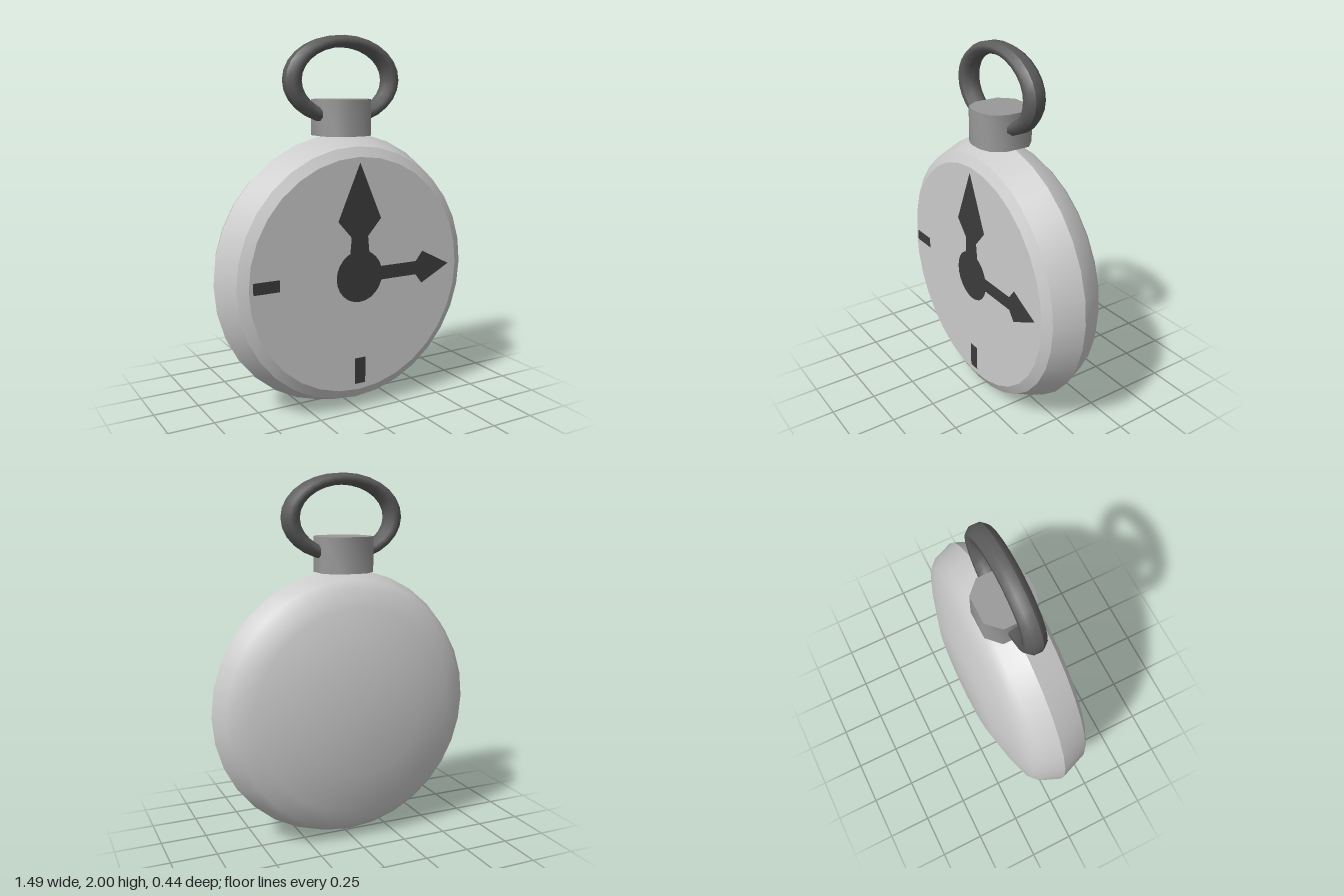
import * as THREE from 'three';
import { toCreasedNormals } from 'three/addons/utils/BufferGeometryUtils.js';

const CENTRE_Y = 0.747; // middle of the dial
const AXIS_Z = 0.035;   // plane of the case seam, crown and ring

const grey = new THREE.MeshStandardMaterial({ color: 0xcccccc });
const crownGrey = new THREE.MeshStandardMaterial({ color: 0x999999 });
const ringGrey = new THREE.MeshStandardMaterial({ color: 0x5c5c5c });
const dark = new THREE.MeshStandardMaterial({ color: 0x3c3c3c });

const vectors = (pairs) => pairs.map(([x, y]) => new THREE.Vector2(x, y));

export function createModel() {
  const group = new THREE.Group();
  const add = (name, geometry, material, x, y, z) => {
    const mesh = new THREE.Mesh(geometry, material);
    mesh.name = name;
    mesh.position.set(x, y, z);
    group.add(mesh);
    return mesh;
  };

  // Case: domed back, hard seam, bevelled rim and flat dial, turned to face +z
  const profile = vectors([
    [0, -0.222], [0.34, -0.213], [0.56, -0.157], [0.66, -0.12], [0.7, -0.08],
    [0.745, AXIS_Z], [0.685, 0.19], [0.632, 0.22], [0, 0.22],
  ]);
  const caseGeometry = new THREE.LatheGeometry(profile, 32).rotateX(Math.PI / 2);
  add('case', toCreasedNormals(caseGeometry, 0.5), grey, 0, CENTRE_Y, 0);

  // Crown: ten-sided prism, a little wider at the back
  const half = [[0.04, -0.145], [0.1, -0.125], [0.145, -0.055], [0.145, 0.08], [0.076, 0.148]];
  const mirrored = half.map(([x, y]) => [-x, y]).reverse();
  const crownShape = new THREE.Shape(vectors([...half, ...mirrored]));
  const crownGeometry = new THREE.ExtrudeGeometry(crownShape, { depth: 0.19, bevelEnabled: false });
  crownGeometry.rotateX(-Math.PI / 2);
  add('crown', toCreasedNormals(crownGeometry, 0.9), crownGrey, 0, 1.48, AXIS_Z);

  // Ring: octagonal tube swept round, squashed into an oval
  const section = [];
  for (let i = 0; i <= 8; i++) {
    const a = ((i + 0.5) / 8) * Math.PI * 2;
    section.push(new THREE.Vector2(0.295 + 0.049 * Math.cos(a), 0.058 * Math.sin(a)));
  }
  const ringGeometry = new THREE.LatheGeometry(section, 28).rotateX(Math.PI / 2);
  ringGeometry.scale(1, 0.68, 1);
  add('ring', ringGeometry, ringGrey, 0, 1.767, AXIS_Z);

  // Flat dial markings, just proud of the dial
  const flat = (name, pairs) =>
    add(name, new THREE.ShapeGeometry(new THREE.Shape(vectors(pairs))), dark, 0, 0, 0.223);
  const bar = (name, x0, x1, y0, y1) => flat(name, [[x0, y0], [x1, y0], [x1, y1], [x0, y1]]);

  add('handHub', new THREE.CircleGeometry(0.14, 24), dark, 0, CENTRE_Y, 0.223);
  flat('upperHand', [
    [0.058, 0.8], [0.058, 0.88], [0.05, 0.96], [0.13, 1.05], [0, 1.35],
    [-0.13, 1.05], [-0.05, 0.96], [-0.058, 0.88], [-0.058, 0.8],
  ]);
  flat('sideHand', [
    [0.08, 0.713], [0.36, 0.713], [0.4, 0.66], [0.58, 0.752],
    [0.402, 0.842], [0.36, 0.788], [0.08, 0.788],
  ]);
  bar('sideMark', -0.61, -0.465, 0.725, 0.787);
  bar('lowerMark', -0.027, 0.038, 0.15, 0.295);

  return group;
}
